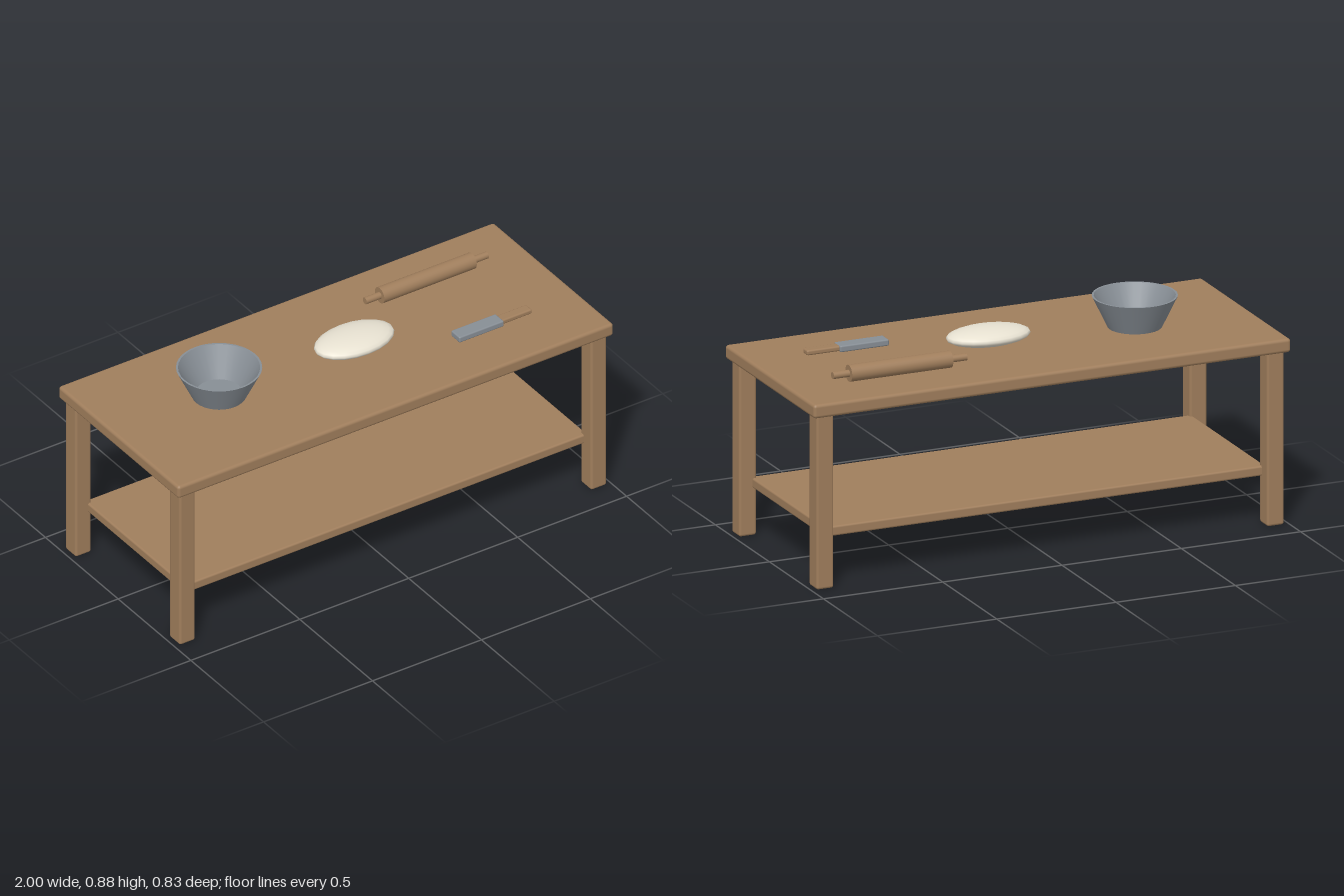
import * as THREE from 'three';
import { RoundedBoxGeometry } from 'three/addons/geometries/RoundedBoxGeometry.js';

const material = (name, color, side = THREE.FrontSide) => {
  const m = new THREE.MeshStandardMaterial({ color, side });
  m.name = name;
  return m;
};

export function createModel() {
  const wood = material('wood', 0xa07e5c);
  const metal = material('metal', 0x878e95, THREE.DoubleSide);
  const dough = material('dough', 0xe8e2d2);

  const model = new THREE.Group();
  model.name = 'kitchenTable';

  const add = (parent, name, geometry, mat, x, y, z) => {
    const mesh = new THREE.Mesh(geometry, mat);
    mesh.name = name;
    mesh.position.set(x, y, z);
    parent.add(mesh);
    return mesh;
  };
  const box = (w, h, d, r) => new RoundedBoxGeometry(w, h, d, 2, r);
  const group = (name, x, y, z) => {
    const g = new THREE.Group();
    g.name = name;
    g.position.set(x, y, z);
    model.add(g);
    return g;
  };

  // Table: top, lower shelf and four legs
  add(model, 'tableTop', box(2, 0.056, 0.828, 0.013), wood, 0, 0.722, 0);
  add(model, 'shelf', box(1.85, 0.04, 0.69, 0.008), wood, 0, 0.21, 0);
  for (const sx of [-1, 1]) {
    for (const sz of [-1, 1]) {
      const name = (sz > 0 ? 'front' : 'back') + (sx > 0 ? 'Left' : 'Right') + 'Leg';
      add(model, name, box(0.072, 0.71, 0.074, 0.01), wood, sx * 0.944, 0.355, sz * 0.358);
    }
  }

  // Mixing bowl: straight flared wall with a thin rim and a flat floor
  const bowl = group('bowl', -0.52, 0.75, -0.025);
  const wall = [[0.105, 0], [0.165, 0.125], [0.157, 0.125], [0.09, 0.008]];
  add(bowl, 'bowlWall', new THREE.CylinderGeometry(0.165, 0.105, 0.125, 32, 1, true), metal, 0, 0.0625, 0);
  add(bowl, 'bowlInside', new THREE.CylinderGeometry(wall[2][0], wall[3][0], 0.117, 32, 1, true), metal, 0, 0.0665, 0);
  const flat = (inner, outer) => {
    const g = inner ? new THREE.RingGeometry(inner, outer, 32) : new THREE.CircleGeometry(outer, 32);
    return g.rotateX(-Math.PI / 2);
  };
  add(bowl, 'bowlRim', flat(0.157, 0.165), metal, 0, 0.125, 0);
  add(bowl, 'bowlFloor', flat(0, 0.09), metal, 0, 0.008, 0);
  add(bowl, 'bowlBase', flat(0, 0.105), metal, 0, 0.001, 0);

  // Flattened oval lump of dough
  const lump = new THREE.SphereGeometry(1, 20, 12).scale(0.172, 0.036, 0.105);
  add(model, 'dough', lump, dough, 0.083, 0.788, 0);

  // Rolling pin: roller with a thinner rod through it as handles
  const pin = group('rollingPin', 0.546, 0.784, -0.2);
  const rod = (r, length) => new THREE.CylinderGeometry(r, r, length, 24).rotateZ(Math.PI / 2);
  add(pin, 'roller', rod(0.033, 0.424), wood, 0, 0, 0);
  add(pin, 'pinHandles', rod(0.014, 0.56), wood, 0, 0, 0);

  // Dough scraper: metal blade with a wooden grip
  const scraper = group('scraper', 0, 0.763, 0.168);
  add(scraper, 'blade', box(0.205, 0.026, 0.06, 0.006), metal, 0.5375, 0, 0);
  add(scraper, 'grip', box(0.145, 0.021, 0.042, 0.007), wood, 0.7025, 0, 0);

  return model;
}
